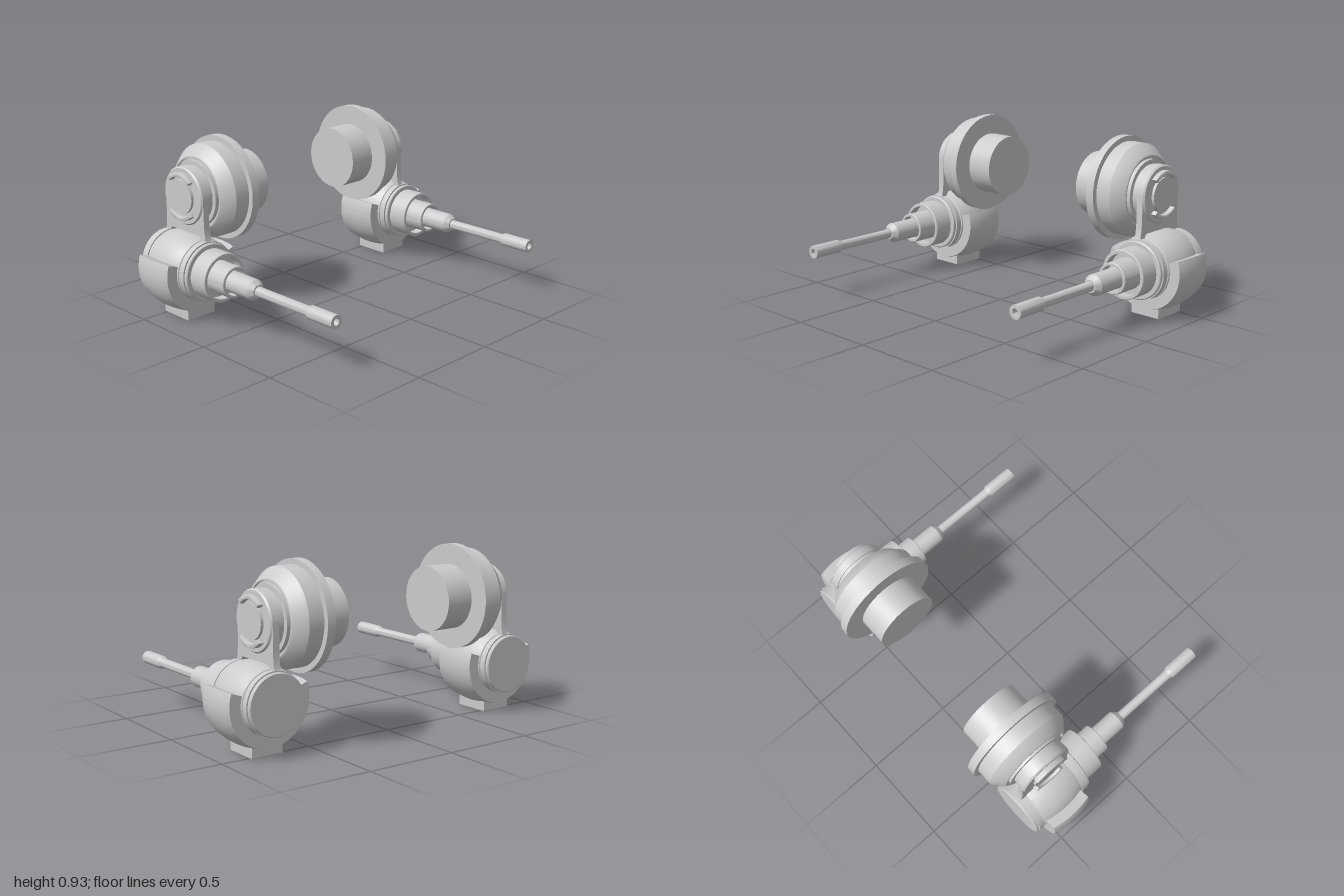
import * as THREE from 'three';
import { toCreasedNormals } from 'three/addons/utils/BufferGeometryUtils.js';

const grey = new THREE.MeshStandardMaterial({ color: 0xcccccc });
const greyDouble = new THREE.MeshStandardMaterial({ color: 0xcccccc, side: THREE.DoubleSide });

function add(group, name, geometry, material = grey) {
  const mesh = new THREE.Mesh(toCreasedNormals(geometry, 0.5), material);
  mesh.name = name;
  group.add(mesh);
  return mesh;
}

// Profiles are [radius, position along the axis] pairs.
function turned(profile, axis, start = 0, sweep = Math.PI * 2) {
  const points = profile.map(([r, a]) => new THREE.Vector2(r, a));
  const geo = new THREE.LatheGeometry(points, 64, start, sweep);
  return axis === 'x' ? geo.rotateZ(-Math.PI / 2) : geo.rotateX(Math.PI / 2);
}

function slab(shape, z, depth, bevel = 0) {
  const geo = new THREE.ExtrudeGeometry(shape, {
    depth: depth - 2 * bevel, curveSegments: 32, bevelEnabled: bevel > 0,
    bevelSize: bevel, bevelThickness: bevel, bevelOffset: -bevel, bevelSegments: 2,
  });
  return geo.translate(0, 0, z + bevel);
}

// Side mount: drum, flange and the forked arm, turning about the z axis
function createMount() {
  const mount = new THREE.Group();
  add(mount, 'mountDrum', turned([
    [0, 0.325], [0.174, 0.325], [0.174, 0.484], [0.283, 0.484], [0.283, 0.53],
    [0.254, 0.53], [0.254, 0.615], [0.246, 0.626], [0.205, 0.675], [0.196, 0.68],
    [0.19, 0.68], [0.19, 0.668], [0.176, 0.668], [0.176, 0.69], [0.152, 0.69],
    [0.152, 0.72], [0, 0.72],
  ], 'z'));

  // Arm with a round head and two legs straddling the gun housing
  const arm = new THREE.Shape();
  arm.moveTo(-0.173, -0.29);
  arm.lineTo(-0.173, -0.23);
  arm.quadraticCurveTo(-0.158, -0.19, -0.157, -0.12);
  arm.lineTo(-0.157, 0);
  arm.absarc(0, 0, 0.157, Math.PI, 0, true);
  arm.lineTo(0.157, -0.12);
  arm.quadraticCurveTo(0.158, -0.19, 0.173, -0.23);
  arm.lineTo(0.173, -0.29);
  arm.lineTo(0.138, -0.29);
  arm.quadraticCurveTo(0.138, -0.2, 0.11, -0.194);
  arm.lineTo(-0.11, -0.194);
  arm.quadraticCurveTo(-0.138, -0.2, -0.138, -0.29);
  add(mount, 'forkedArm', slab(arm, 0.722, 0.036));

  add(mount, 'armHub', turned([
    [0, 0.715], [0.157, 0.715], [0.157, 0.758], [0.15, 0.767], [0.091, 0.767],
    [0.091, 0.782], [0, 0.782],
  ], 'z'));

  // Two curved ribs above and below the hub cap
  for (const middle of [Math.PI / 2, -Math.PI / 2]) {
    const rib = new THREE.Shape();
    rib.absarc(0, 0, 0.13, middle - 0.78, middle + 0.78, false);
    rib.absarc(0, 0, 0.107, middle + 0.78, middle - 0.78, true);
    add(mount, 'hubRib', slab(rib, 0.76, 0.036, 0.004));
  }
  return mount;
}

// Gun: everything turns about the x axis
function createGun() {
  const gun = new THREE.Group();

  // Bulging housing with stepped end caps
  const housing = [
    [0, -0.616], [0.153, -0.616], [0.158, -0.611], [0.158, -0.598], [0.15, -0.598], [0.15, -0.594],
    [0.163, -0.594], [0.163, -0.563], [0.157, -0.563], [0.157, -0.555],
  ];
  for (let i = 0; i <= 10; i++) {
    const t = i / 5 - 1;
    housing.push([0.184 - 0.02 * t * t, -0.422 + 0.13 * t]);
  }
  housing.push([0.157, -0.289], [0.157, -0.284], [0.163, -0.284], [0.163, -0.25], [0.15, -0.25],
    [0.15, -0.246], [0.158, -0.246], [0.158, -0.232], [0.153, -0.228], [0, -0.228]);
  add(gun, 'housing', turned(housing, 'x'));

  // Curved shield wrapped under the housing, open at the top
  const shield = [];
  for (let i = 0; i <= 8; i++) {
    const t = i / 4 - 1;
    shield.push([0.243 - 0.016 * t * t, -0.424 + 0.124 * t]);
  }
  shield.push([0.165, -0.3], [0.165, -0.548], shield[0]);
  const open = THREE.MathUtils.degToRad(19);
  add(gun, 'shield', turned(shield, 'x', -open, Math.PI + 2 * open), greyDouble);
  const section = new THREE.Shape(shield.map(([r, a]) => new THREE.Vector2(a, r)));
  for (const side of [1, -1]) {
    const end = new THREE.ShapeGeometry(section).rotateX(side * (Math.PI / 2 - open));
    add(gun, 'shieldEnd', end, greyDouble);
  }

  // Block under the shield
  const foot = new THREE.Shape();
  foot.moveTo(-0.1, 0.08);
  foot.lineTo(-0.1, 0.003);
  foot.lineTo(-0.096, 0);
  foot.lineTo(0.096, 0);
  foot.lineTo(0.1, 0.003);
  foot.lineTo(0.1, 0.08);
  add(gun, 'foot', slab(foot, -0.088, 0.176)).position.set(-0.42, -0.272, 0);

  // Telescoping sleeves, each with a recessed front
  const sleeves = [[-0.235, -0.115, 0.132, 0.114], [-0.18, -0.025, 0.085, 0.07]];
  for (const [back, front, outer, inner] of sleeves) {
    add(gun, 'barrelSleeve', turned([
      [0, back], [outer, back], [outer, front - 0.003], [outer - 0.003, front],
      [inner, front], [inner, front - 0.05], [0, front - 0.05],
    ], 'x'));
  }
  add(gun, 'barrelCollar', turned([
    [0, -0.09], [0.056, -0.09], [0.056, 0.122], [0.034, 0.15], [0, 0.15],
  ], 'x'));

  // Slim barrel with a hollow muzzle
  add(gun, 'barrel', turned([
    [0.026, 0.14], [0.026, 0.512], [0.036, 0.532], [0.036, 0.703],
    [0.018, 0.703], [0.018, 0.63], [0, 0.63],
  ], 'x'));
  return gun;
}

export function createModel() {
  const model = new THREE.Group();
  model.name = 'pairedSideGuns';
  for (const side of [1, -1]) {
    const unit = new THREE.Group();
    unit.name = side > 0 ? 'frontGunUnit' : 'backGunUnit';
    const mount = createMount();
    mount.name = 'mount';
    mount.position.set(-0.424, 0.65, 0);
    mount.rotation.y = side > 0 ? 0 : Math.PI;
    const gun = createGun();
    gun.name = 'gun';
    gun.position.set(0, 0.272, side * 0.755);
    unit.add(mount, gun);
    model.add(unit);
  }
  return model;
}
